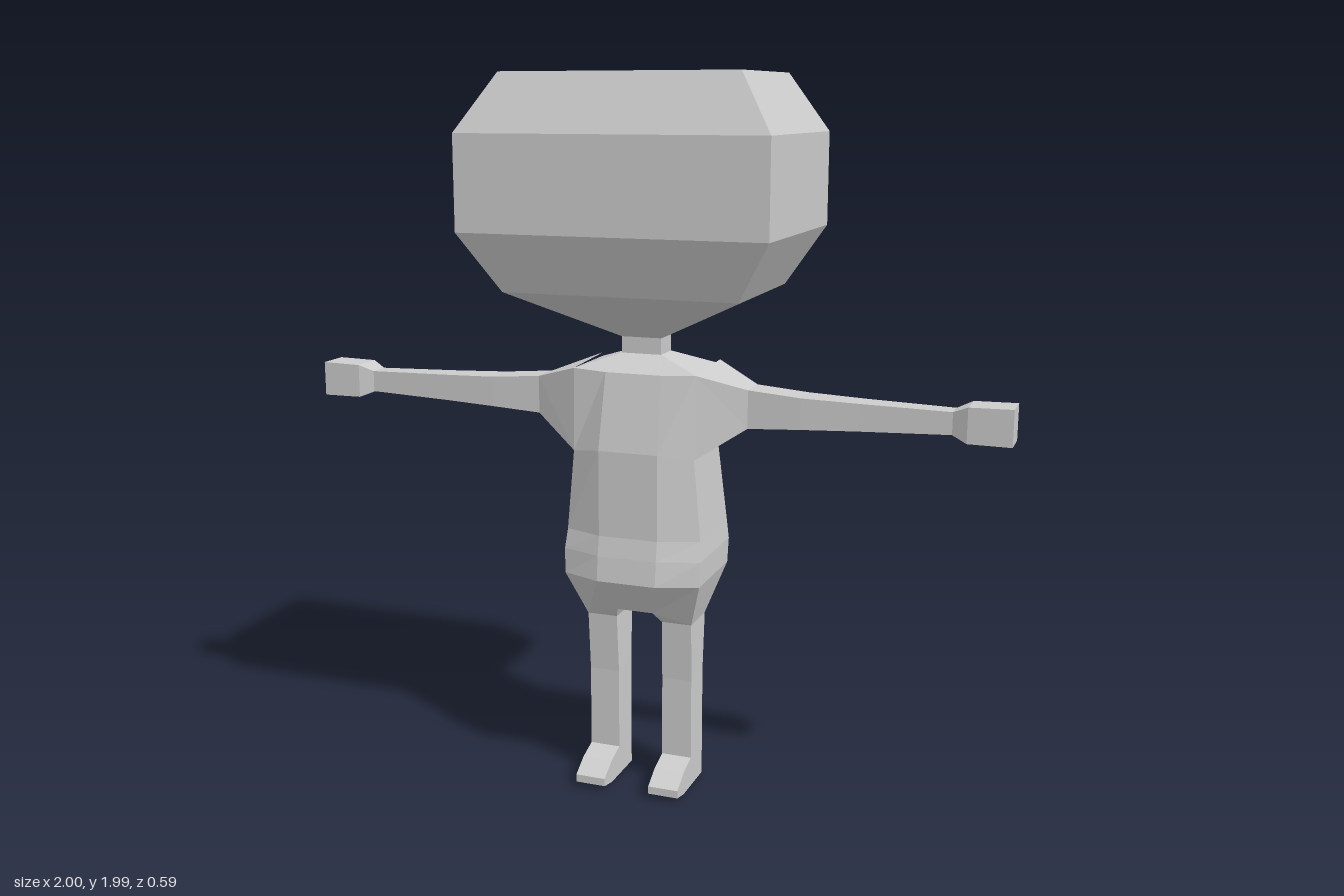
import * as THREE from 'three';

const grey = new THREE.MeshStandardMaterial({ color: 0xcccccc });
grey.name = 'light grey';

// Faceted skin through matching rings of points, with optional end caps.
function loft(rings, capStart = false, capEnd = false) {
  const pos = [];
  const tri = (...pts) => pts.forEach((p) => pos.push(...p));
  for (let k = 0; k < rings.length - 1; k++) {
    const r = rings[k], s = rings[k + 1], n = r.length;
    for (let i = 0; i < n; i++) {
      const j = (i + 1) % n;
      tri(r[i], r[j], s[j]);
      tri(r[i], s[j], s[i]);
    }
  }
  const cap = (r) => {
    for (let i = 1; i < r.length - 1; i++) tri(r[0], r[i], r[i + 1]);
  };
  if (capStart) cap([...rings[0]].reverse());
  if (capEnd) cap(rings[rings.length - 1]);
  const g = new THREE.BufferGeometry();
  g.setAttribute('position', new THREE.Float32BufferAttribute(pos, 3));
  g.computeVertexNormals();
  return g;
}

// Horizontal rectangle ring between x0 and x1.
const rect = (y, x0, x1, zf, zb) => [[x1, y, zf], [x0, y, zf], [x0, y, zb], [x1, y, zb]];

// Mirror rings across x = 0, keeping faces outward.
const mirror = (rings) => rings.map((r) => r.map(([x, y, z]) => [-x, y, z]).reverse());

export function createModel() {
  const model = new THREE.Group();
  model.name = 'figure';
  const add = (name, geometry) => {
    const m = new THREE.Mesh(geometry, grey);
    m.name = name;
    model.add(m);
    return m;
  };

  // Large bevelled head tapering to the neck
  add('head', loft([
    [1.99, 0.328, 0.22], [1.835, 0.426, 0.293], [1.58, 0.426, 0.293],
    [1.42, 0.328, 0.22], [1.29, 0.057, 0.04],
  ].map(([y, x, z]) => rect(y, -x, x, z, -z)), true, true));
  add('neck', loft([rect(1.295, -0.057, 0.057, 0.04, -0.04), rect(1.24, -0.057, 0.057, 0.04, -0.04)]));

  // Torso: eight-point rings with a raised middle column on front and back
  // half width, column half width, y side, y front, y back, z front side/middle, z back side/middle
  const torso = [
    [0.057, 0.03, 1.245, 1.245, 1.245, 0.04, 0.04, -0.04, -0.04],
    [0.175, 0.08, 1.205, 1.2, 1.22, 0.1, 0.105, -0.11, -0.115],
    [0.175, 0.085, 0.975, 0.99, 0.975, 0.105, 0.148, -0.108, -0.118],
    [0.195, 0.085, 0.75, 0.75, 0.75, 0.107, 0.148, -0.133, -0.137],
    [0.2, 0.085, 0.695, 0.695, 0.695, 0.118, 0.158, -0.138, -0.14],
    [0.198, 0.085, 0.625, 0.625, 0.625, 0.122, 0.166, -0.132, -0.134],
    [0.155, 0.052, 0.49, 0.525, 0.525, 0.06, 0.095, -0.06, -0.1],
  ].map(([x, c, ys, yf, yb, fs, fc, bs, bc]) => [
    [x, ys, fs], [c, yf, fc], [-c, yf, fc], [-x, ys, fs],
    [-x, ys, bs], [-c, yb, bc], [c, yb, bc], [x, ys, bs],
  ]);
  add('torso', loft(torso));
  const crotch = add('crotch', new THREE.PlaneGeometry(0.104, 0.195).rotateX(Math.PI / 2));
  crotch.position.set(0, 0.525, -0.0025);

  // Arm with flared shoulder, thin wrist and block hand
  const section = (x, y0, y1, z) => [[x, y1, -z], [x, y1, z], [x, y0, z], [x, y0, -z]];
  const arm = [
    [[0.175, 1.215, -0.115], [0.175, 1.205, 0.1], [0.175, 0.975, 0.105], [0.175, 0.975, -0.108]],
    section(0.305, 1.06, 1.165, 0.046),
    section(0.45, 1.068, 1.153, 0.045),
    section(0.6, 1.074, 1.148, 0.038),
    section(0.845, 1.082, 1.142, 0.03),
  ];
  const hand = [
    section(0.845, 1.082, 1.142, 0.03),
    section(0.885, 1.065, 1.16, 0.046),
    section(1, 1.064, 1.162, 0.046),
  ];

  // Leg: hip transition, then a straight square limb
  const leg = [
    [[0.155, 0.49, 0.06], [0.052, 0.525, 0.095], [0.052, 0.525, -0.1], [0.155, 0.49, -0.06]],
    rect(0.49, 0.068, 0.155, 0.06, -0.06),
    rect(0.32, 0.066, 0.153, 0.05, -0.05),
    rect(0.088, 0.066, 0.153, 0.05, -0.05),
  ];

  // Foot: side outline (z, y) spanned across the leg width
  const outline = [[-0.05, 0.088], [0.05, 0.088], [0.11, 0.07], [0.165, 0.037],
    [0.165, 0.015], [0.11, 0.003], [-0.05, 0]];
  const foot = [0.066, 0.153].map((x) => outline.map(([z, y]) => [x, y, z]));

  for (const [side, place] of [['left', (r) => r], ['right', mirror]]) {
    add(side + 'Arm', loft(place(arm)));
    add(side + 'Hand', loft(place(hand), false, true));
    add(side + 'Leg', loft(place(leg)));
    add(side + 'Foot', loft(place(foot), true, true));
  }
  return model;
}
